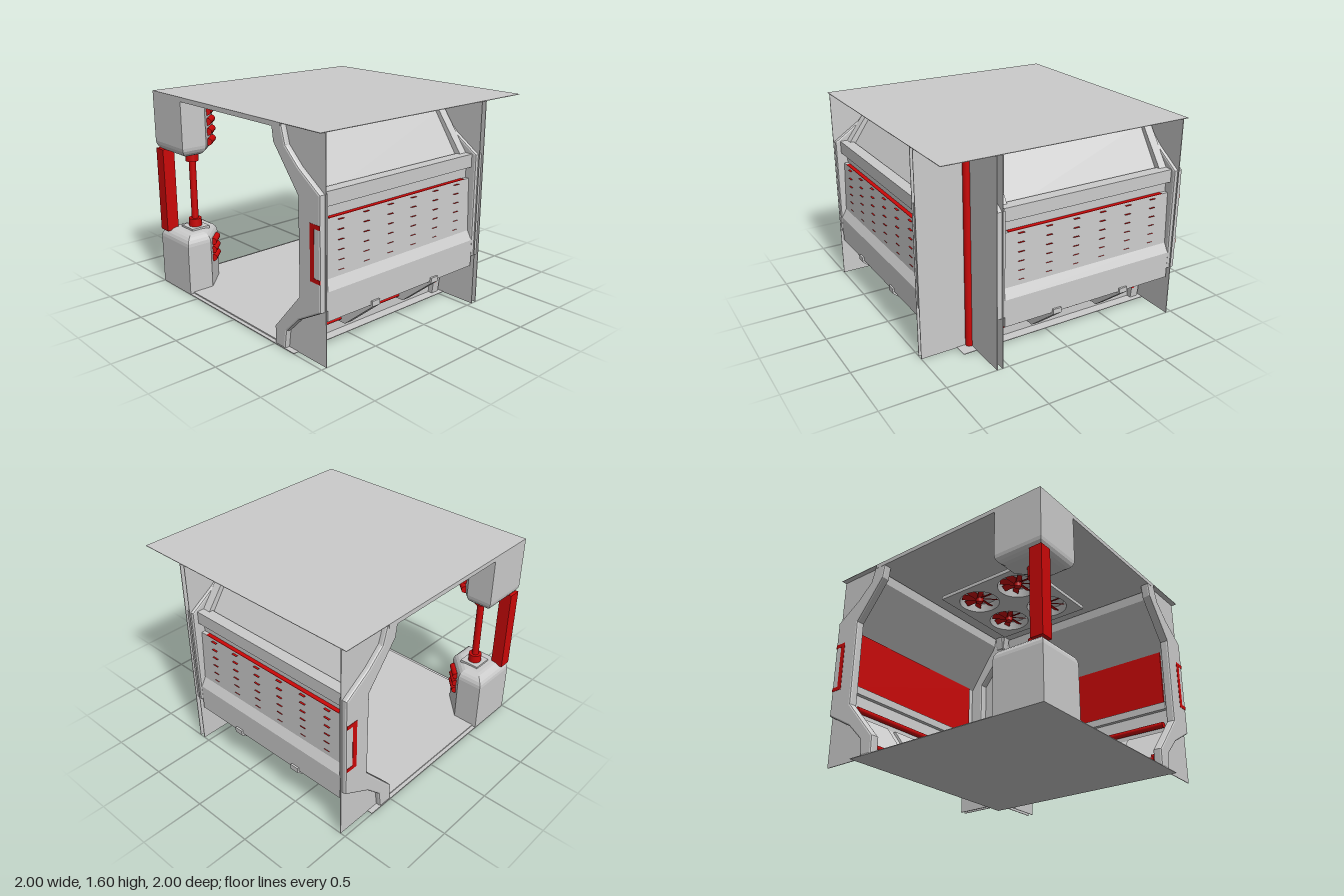
import * as THREE from 'three';

const grey = new THREE.MeshStandardMaterial({ color: 0xcccccc, side: THREE.DoubleSide });
const red = new THREE.MeshStandardMaterial({ color: 0xcc0808, side: THREE.DoubleSide });

function add(parent, name, geometry, material, x = 0, y = 0, z = 0) {
  const mesh = new THREE.Mesh(geometry, material);
  mesh.name = name;
  mesh.position.set(x, y, z);
  parent.add(mesh);
  return mesh;
}

// Box given by its lower and upper corners
function box(parent, name, a, b, material = grey) {
  const g = new THREE.BoxGeometry(b[0] - a[0], b[1] - a[1], b[2] - a[2]);
  return add(parent, name, g, material, (a[0] + b[0]) / 2, (a[1] + b[1]) / 2, (a[2] + b[2]) / 2);
}

const shapeOf = pts => new THREE.Shape(pts.map(p => new THREE.Vector2(p[0], p[1])));

// Cross-section of [z, y] points swept along x, centred on x = 0
function sweep(pts, width, bevel = 0) {
  const g = new THREE.ExtrudeGeometry(shapeOf(pts), {
    depth: width - 2 * bevel, bevelEnabled: bevel > 0, bevelSize: bevel,
    bevelThickness: bevel, bevelOffset: -bevel, bevelSegments: 2,
  });
  g.translate(0, 0, -(width - 2 * bevel) / 2);
  g.rotateY(-Math.PI / 2);
  return g;
}

function rod(parent, name, radius, length, x, y, z) {
  const g = new THREE.CylinderGeometry(radius, radius, length, 16);
  g.rotateZ(Math.PI / 2);
  return add(parent, name, g, red, x, y, z);
}

// Wall 1.6 long, facing outward to +z; openEnd (-1 or 1) is the free end
function makeWall(openEnd) {
  const wall = new THREE.Group();
  const inner = [[0.62, 0], [0.62, 0.1], [0.86, 0.41], [0.88, 0.6], [0.88, 1.12], [0.62, 1.5], [0.61, 1.59]];
  const back = inner.map(([z, y]) => [z + 0.012, y]).reverse();
  add(wall, 'wallShell', sweep([...inner, ...back], 1.46), grey);

  // Outer housing: lower band, dotted panel, slot and top band
  add(wall, 'outerHousing', sweep([[0.8, 0.32], [0.985, 0.32], [0.985, 0.53], [0.945, 0.6], [0.93, 1.01],
    [0.9, 1.01], [0.9, 1.1], [0.95, 1.1], [0.95, 1.2], [0.86, 1.2], [0.895, 1.12], [0.895, 0.6], [0.87, 0.41]], 1.46), grey);
  box(wall, 'slotStrip', [-0.67, 1.01, 0.9], [0.67, 1.014, 0.932], red);
  for (let i = 0; i < 6; i++) for (let j = 0; j < 6; j++) {
    const x = -0.575 + i * 0.23, y = 0.64 + j * 0.07;
    box(wall, 'panelFin', [x - 0.025, y - 0.0005, 0.925], [x + 0.025, y + 0.0005, 0.948], red);
  }

  // Inside: display panel, sloping cushions and rails
  box(wall, 'displayPanel', [-0.67, 0.66, 0.866], [0.67, 1.12, 0.878], red);
  box(wall, 'displaySill', [-0.69, 0.6, 0.845], [0.69, 0.66, 0.89]);
  for (const [a, b] of [[-0.68, -0.34], [-0.26, 0.26], [0.34, 0.68]]) {
    add(wall, 'slopePanel', sweep([[0.62, 0.13], [0.83, 0.405], [0.85, 0.4], [0.64, 0.125]], b - a), grey, (a + b) / 2);
  }
  rod(wall, 'upperRail', 0.024, 1.34, 0, 0.46, 0.83);
  rod(wall, 'lowerRail', 0.022, 1.36, 0, 0.105, 0.61);
  rod(wall, 'outerRail', 0.017, 1.36, 0, 0.11, 0.665);
  for (const s of [-1, 1]) {
    box(wall, 'railEnd', [s * 0.67 - 0.012, 0.095, 0.6], [s * 0.67 + 0.012, 0.145, 0.685], red);
    add(wall, 'outerRib', sweep([[0.63, 0.08], [0.72, 0.08], [1, 0.31], [1, 0.35], [0.82, 0.35]], 0.07), grey, s * 0.3);
    // Side trims of the upper and lower slopes
    add(wall, 'upperTrim', sweep([[0.61, 1.59], [0.67, 1.59], [0.67, 1.5], [0.92, 1.16], [0.88, 1.12], [0.62, 1.5]], 0.07), grey, s * 0.695);
    add(wall, 'lowerTrim', sweep([[0.62, 0], [0.67, 0], [0.69, 0.16], [0.88, 0.38], [0.86, 0.41], [0.62, 0.1]], 0.07), grey, s * 0.695);
    // End frame following the section of the room
    add(wall, 'endFrame', sweep([[0.5, 0], [0.5, 0.14], [0.77, 0.45], [0.77, 1.15], [0.52, 1.46], [0.5, 1.59],
      [0.61, 1.59], [0.65, 1.46], [0.78, 1.34], [0.99, 1.2], [0.99, 0.4], [0.76, 0.27], [0.63, 0.14], [0.61, 0]],
      0.072, 0.014), grey, s * 0.762);
    // Thin plate around the frame
    add(wall, 'endPlate', sweep([[0.58, 0], [1, 0], [1, 1.6], [0.58, 1.6], [0.6, 1.46], [0.85, 1.17],
      [0.85, 0.42], [0.58, 0.12]], 0.006), grey, s * 0.755);
  }

  // Handle on the free end
  const x0 = openEnd * 0.78 - 0.02, x1 = x0 + 0.04;
  box(wall, 'handleBar', [x0, 0.6, 0.89], [x1, 1, 0.93], red);
  for (const y of [0.6, 0.97]) box(wall, 'handleEnd', [x0, y, 0.89], [x1, y + 0.03, 0.985], red);
  return wall;
}

// Corner block: square plan with the inner corner cut, ends rounded
function cornerBlock(parent, name, y0, y1) {
  const b = 0.08;
  const g = new THREE.ExtrudeGeometry(shapeOf([[-1, 1], [-0.6, 1], [-0.6, 0.79], [-0.79, 0.6], [-1, 0.6]]), {
    depth: y1 - y0, bevelSize: b, bevelThickness: b, bevelOffset: -b, bevelSegments: 5,
  });
  g.rotateX(-Math.PI / 2);
  g.translate(0, y0, 0);
  const p = g.attributes.position;
  for (let i = 0; i < p.count; i++) p.setY(i, Math.min(1.595, Math.max(0.005, p.getY(i))));
  g.computeVertexNormals();
  add(parent, name, g, grey);
}

function makeFan() {
  const fan = new THREE.Group();
  add(fan, 'fanDish', new THREE.CylinderGeometry(0.15, 0.165, 0.07, 32, 1, true), grey, 0, 0.035);
  add(fan, 'fanDishTop', new THREE.CylinderGeometry(0.15, 0.15, 0.004, 32), grey, 0, 0.07);
  add(fan, 'fanHub', new THREE.CylinderGeometry(0.035, 0.028, 0.07, 16), red, 0, 0.03);
  for (let i = 0; i < 8; i++) {
    const g = new THREE.BoxGeometry(0.12, 0.006, 0.05);
    g.rotateX(0.5);
    g.translate(0.085, 0.035, 0);
    add(fan, 'fanBlade', g, red).rotation.y = i * Math.PI / 4;
  }
  return fan;
}

export function createModel() {
  const model = new THREE.Group();
  box(model, 'roof', [-1, 1.596, -1], [1, 1.6, 1]);
  box(model, 'ceiling', [-1, 1.565, -1], [0.6, 1.596, 0.6]);
  box(model, 'floor', [-1, 0, -1], [0.71, 0.005, 0.71]);
  box(model, 'floorPanel', [-0.97, 0.005, -0.97], [0.6, 0.015, 0.6]);

  // Two matching walls
  const front = makeWall(-1);
  front.name = 'frontWall';
  front.position.x = -0.2;
  const side = makeWall(1);
  side.name = 'sideWall';
  side.rotation.y = Math.PI / 2;
  side.position.z = -0.2;
  model.add(front, side);

  // Recessed outer corner with its pipe
  box(model, 'cornerPlate', [0.6, 0, 0.597], [1, 1.6, 0.603]);
  box(model, 'cornerPlate', [0.597, 0, 0.6], [0.603, 1.6, 1]);
  add(model, 'cornerPipe', new THREE.CylinderGeometry(0.03, 0.03, 1.59, 20), red, 0.612, 0.8, 0.612);
  for (const [y, flip] of [[0.075, 0], [1.525, Math.PI]]) {
    const g = new THREE.LatheGeometry([[0, -0.07], [0.046, -0.07], [0.046, 0.05], [0.036, 0.075], [0, 0.08]]
      .map(p => new THREE.Vector2(p[0], p[1])), 20);
    add(model, 'pipeSocket', g, red, 0.596, y, 0.596).rotation.x = flip;
  }

  // Opposite corner: two blocks joined by a post and a pole
  cornerBlock(model, 'lowerCornerBlock', 0, 0.4);
  cornerBlock(model, 'upperCornerBlock', 1.2, 1.6);
  box(model, 'cornerPost', [-1, 0.46, -1], [-0.9, 1.14, -0.9], red);
  add(model, 'pole', new THREE.CylinderGeometry(0.028, 0.028, 0.66, 16), red, -0.8, 0.8, -0.8);
  for (const y of [0.52, 1.08]) add(model, 'poleCollar', new THREE.CylinderGeometry(0.052, 0.052, 0.08, 16), red, -0.8, y, -0.8);
  box(model, 'polePlinth', [-0.88, 0.47, -0.88], [-0.72, 0.495, -0.72]);
  for (const y of [0.24, 0.31, 0.38, 1.21, 1.29, 1.37, 1.45, 1.53]) {
    rod(model, 'blockBar', 0.028, 0.15, -0.69, y, -0.69).rotation.y = Math.PI / 4;
  }

  // Ceiling panel with four fans
  const panel = shapeOf([[-0.42, -0.42], [0.42, -0.42], [0.42, 0.42], [-0.42, 0.42]]);
  const centres = [[-0.2, -0.2], [0.2, -0.2], [0.2, 0.2], [-0.2, 0.2]];
  for (const [x, z] of centres) {
    panel.holes.push(new THREE.Path().absarc(x, z, 0.165, 0, Math.PI * 2, true));
    const fan = makeFan();
    fan.name = 'ceilingFan';
    fan.position.set(x, 1.49, z);
    model.add(fan);
  }
  const g = new THREE.ExtrudeGeometry(panel, { depth: 0.03, bevelEnabled: false, curveSegments: 32 });
  g.rotateX(-Math.PI / 2);
  add(model, 'fanPanel', g, grey, 0, 1.49, 0);
  return model;
}
